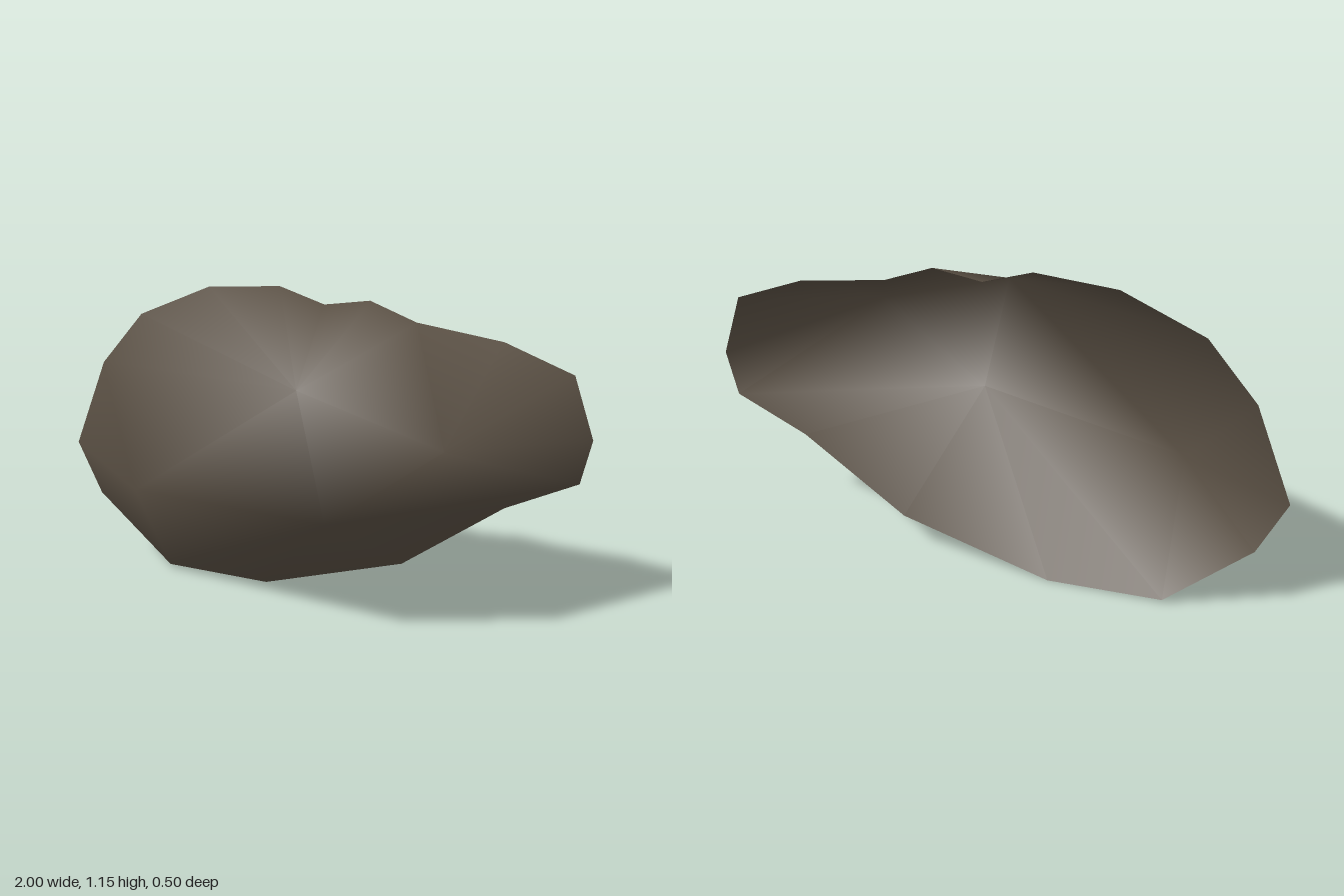
import * as THREE from 'three';

export function createModel() {
  const group = new THREE.Group();
  group.name = 'rockShell';
  const stone = new THREE.MeshStandardMaterial({ color: 0x594f43, side: THREE.DoubleSide });
  stone.name = 'brown stone';

  // Flat open rim at the back, clockwise as seen from the front
  const rim = [
    [-1, 0.48], [-0.87, 0.815], [-0.70, 1.015], [-0.42, 1.135], [-0.14, 1.155], [0.03, 1.10],
    [0.20, 1.125], [0.37, 1.06], [0.68, 1.015], [0.925, 0.92], [1, 0.70], [0.965, 0.54],
    [0.71, 0.42], [0.34, 0.155], [-0.20, 0], [-0.61, 0.015], [-0.905, 0.28],
  ];
  // Raised corners, each with the first and last rim point it fans out to
  const corners = [
    { at: [-0.60, 0.42, 0.04], from: 15, to: 18 }, // left shoulder
    { at: [0.11, 0.91, 0.24], from: 1, to: 7 },    // upper peak
    { at: [0.61, 0.76, 0.25], from: 7, to: 11 },   // right peak
    { at: [0.21, 0.46, 0.24], from: 11, to: 15 },  // lower peak
  ];
  const n = rim.length;
  const positions = [...rim.flatMap(([x, y]) => [x, y, -0.25]), ...corners.flatMap((c) => c.at)];

  // Sloping sides: a fan per corner plus a joining face to the next corner
  const index = [];
  corners.forEach(({ from, to }, k) => {
    for (let i = from; i < to; i++) index.push(n + k, (i + 1) % n, i % n);
    index.push(n + k, n + (k + 1) % corners.length, to % n);
  });
  // Front faces between the raised corners
  for (const face of [[0, 3, 1], [3, 2, 1]]) index.push(...face.map((k) => n + k));

  const geometry = new THREE.BufferGeometry();
  geometry.setAttribute('position', new THREE.Float32BufferAttribute(positions, 3));
  geometry.setIndex(index);
  geometry.computeVertexNormals();

  const shell = new THREE.Mesh(geometry, stone);
  shell.name = 'rockFace';
  group.add(shell);
  return group;
}
